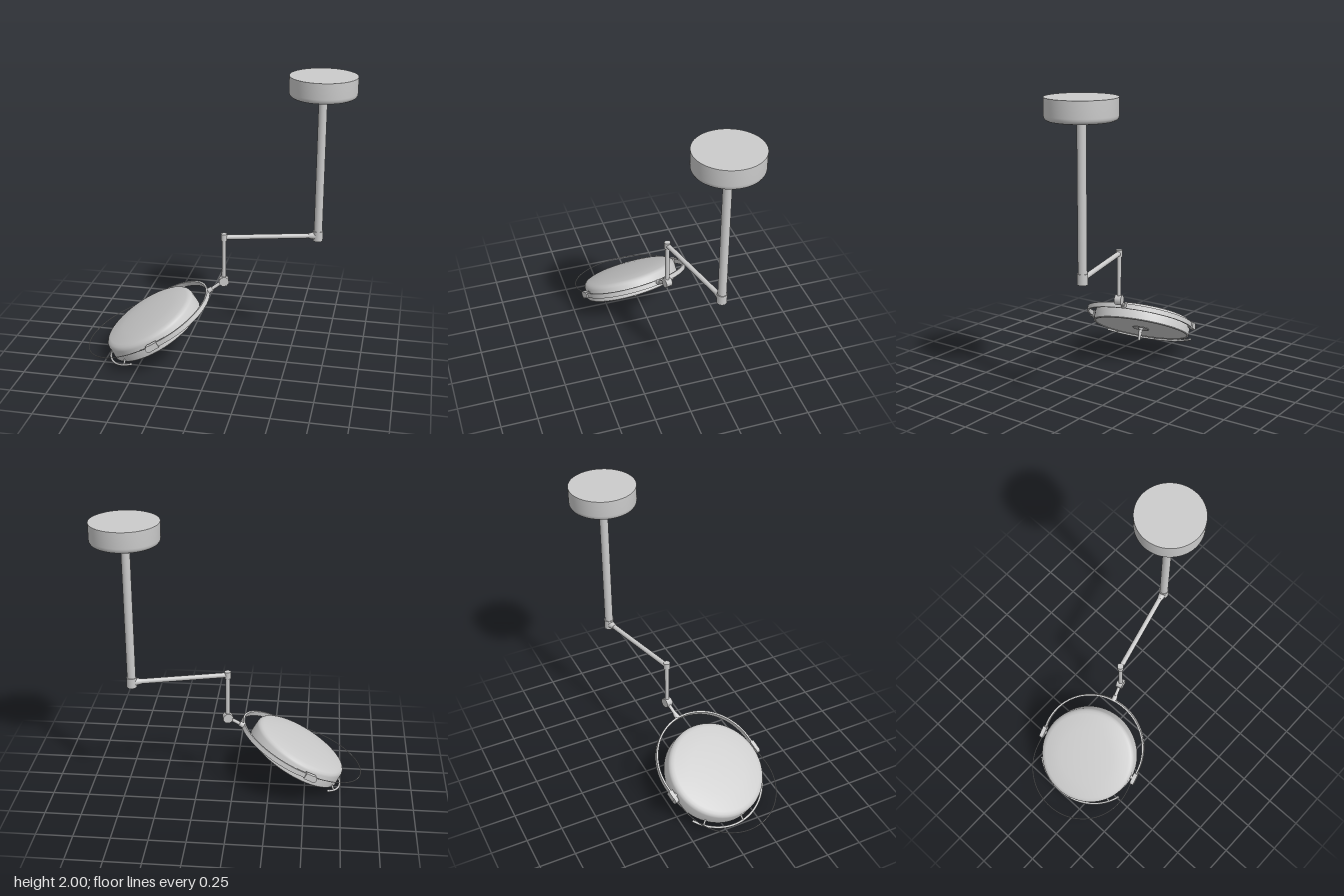
import * as THREE from 'three';
import { toCreasedNormals } from 'three/addons/utils/BufferGeometryUtils.js';

const V = (x, y, z) => new THREE.Vector3(x, y, z);
const grey = new THREE.MeshStandardMaterial({ color: 0xcccccc });

function add(parent, name, geometry, position) {
  const mesh = new THREE.Mesh(geometry, grey);
  mesh.name = name;
  if (position) mesh.position.copy(position);
  parent.add(mesh);
  return mesh;
}

// Cylinder running from point a to point b
function rod(parent, name, a, b, r, rEnd = r, sides = 24) {
  const mesh = add(parent, name, new THREE.CylinderGeometry(rEnd, r, a.distanceTo(b), sides),
    a.clone().add(b).multiplyScalar(0.5));
  mesh.quaternion.setFromUnitVectors(V(0, 1, 0), b.clone().sub(a).normalize());
  return mesh;
}

// Turned solid with crisp corners
function turned(parent, name, profile, position) {
  const points = profile.map(([r, y]) => new THREE.Vector2(r, y));
  return add(parent, name, toCreasedNormals(new THREE.LatheGeometry(points, 72), 0.6), position);
}

export function createModel() {
  const model = new THREE.Group();
  model.name = 'ceilingSurgicalLamp';

  // Key joints
  const post = V(0.665, 0.885, -0.22);
  const elbow = V(0.04, 0.885, -0.06);
  const knuckle = V(0.04, 0.56, -0.06);
  const armDir = elbow.clone().sub(post).normalize();
  const side = V(-armDir.z, 0, armDir.x).negate();

  // Ceiling mount and post
  turned(model, 'ceilingCanopy', [[0, 1.86], [0.195, 1.86], [0.208, 1.863], [0.218, 1.87],
    [0.224, 1.882], [0.225, 1.895], [0.225, 2], [0, 2]], V(post.x, 0, post.z));
  rod(model, 'ceilingPost', V(post.x, 0.9, post.z), V(post.x, 1.87, post.z), 0.029);
  rod(model, 'postJoint', V(post.x, 0.85, post.z), V(post.x, 0.92, post.z), 0.034);

  // Horizontal arm with flared root
  rod(model, 'horizontalArm', post, elbow, 0.017);
  rod(model, 'armCollar', post, post.clone().addScaledVector(armDir, 0.065), 0.031, 0.018);

  // Drop arm
  rod(model, 'elbowJoint', V(elbow.x, 0.862, elbow.z), V(elbow.x, 0.91, elbow.z), 0.022);
  rod(model, 'dropArm', knuckle, elbow, 0.015);
  rod(model, 'knuckle', knuckle.clone().addScaledVector(side, -0.023),
    knuckle.clone().addScaledVector(side, 0.023), 0.036, 0.036, 8);

  // Lamp head frame: x points uphill to the arm, y out of the back of the lamp
  const tilt = Math.PI / 6;
  const up = armDir.clone().multiplyScalar(Math.sin(tilt)).add(V(0, Math.cos(tilt), 0));
  const uphill = armDir.clone().multiplyScalar(-Math.cos(tilt)).add(V(0, Math.sin(tilt), 0));
  const head = new THREE.Group();
  head.name = 'lampHead';
  head.position.set(-0.415, 0.2, 0.06);
  head.quaternion.setFromRotationMatrix(new THREE.Matrix4().makeBasis(uphill, up, side));
  model.add(head);

  // Domed housing, recessed lens and centre ring
  turned(head, 'lampHousing', [[0, 0.004], [0.334, 0.004], [0.336, 0], [0.346, 0], [0.35, 0.005],
    [0.347, 0.09], [0.342, 0.104], [0.33, 0.115], [0.31, 0.122], [0.2, 0.134], [0.1, 0.139], [0, 0.14]]);
  const lensRing = add(head, 'lensRing', new THREE.TorusGeometry(0.058, 0.003, 8, 48), V(0, 0.002, 0));
  lensRing.rotation.x = Math.PI / 2;

  // Sterile centre handle
  turned(head, 'centreHandle', [[0, -0.09], [0.006, -0.088], [0.009, -0.08], [0.013, -0.03],
    [0.013, -0.008], [0.018, -0.008], [0.018, 0.006]]);

  // Yoke band: half ring with straight ends
  const pivotY = 0.065;
  const band = new THREE.Shape();
  band.moveTo(0, -0.382);
  band.lineTo(0.075, -0.382);
  band.absarc(0.075, 0, 0.382, -Math.PI / 2, Math.PI / 2, false);
  band.lineTo(0, 0.382);
  band.lineTo(0, 0.369);
  band.lineTo(0.075, 0.369);
  band.absarc(0.075, 0, 0.369, Math.PI / 2, -Math.PI / 2, true);
  band.lineTo(0, -0.369);
  const bandGeometry = new THREE.ExtrudeGeometry(band,
    { depth: 0.034, bevelEnabled: false, curveSegments: 64 });
  bandGeometry.rotateX(-Math.PI / 2);
  add(head, 'yokeBand', toCreasedNormals(bandGeometry, 0.5), V(0, pivotY - 0.017, 0));

  // Link from the yoke to the knuckle
  head.updateMatrixWorld(true);
  const yokeTop = head.localToWorld(V(0.45, pivotY, 0));
  const linkMid = yokeTop.clone().lerp(knuckle, 0.3);
  rod(model, 'yokeSocket', yokeTop, linkMid, 0.02, 0.016);
  rod(model, 'yokeLink', linkMid, knuckle, 0.012);

  // Yoke pivots on both sides
  for (const s of [-1, 1]) {
    add(head, 'pivotBlock', new THREE.BoxGeometry(0.065, 0.044, 0.03), V(0.01, pivotY, s * 0.376));
    rod(head, 'pivotCap', V(-0.025, pivotY, s * 0.362), V(-0.025, pivotY, s * 0.39), 0.024);
    rod(head, 'pivotAxle', V(0, pivotY, s * 0.33), V(0, pivotY, s * 0.38), 0.014);
  }

  // Thin outer grab wire, swung slightly above the head plane
  const wirePoints = [V(0, 0, 0.368)];
  for (let i = 0; i <= 24; i++) {
    const a = Math.PI * i / 24;
    wirePoints.push(V(-0.11 - 0.37 * Math.sin(a), 0, 0.37 * Math.cos(a)));
  }
  wirePoints.push(V(0, 0, -0.368));
  const wire = add(head, 'grabWire', new THREE.TubeGeometry(
    new THREE.CatmullRomCurve3(wirePoints), 120, 0.003, 8), V(0, pivotY, 0));
  wire.rotation.z = -0.16;

  // Curved handle rail below the lower rim, with brackets
  const onRail = (a, r, y) => V(-r * Math.cos(a), y, r * Math.sin(a));
  const span = 1.0;
  const railPoints = [];
  for (let i = 0; i <= 20; i++) railPoints.push(onRail(span * (i / 10 - 1), 0.38, 0));
  add(head, 'handleRail', new THREE.TubeGeometry(
    new THREE.CatmullRomCurve3(railPoints), 64, 0.008, 10));
  for (const s of [-1, 1]) {
    add(head, 'railEnd', new THREE.SphereGeometry(0.009, 12, 8), onRail(s * span, 0.38, 0));
  }
  for (const a of [-0.8, 0, 0.8]) {
    rod(head, 'railBracket', onRail(a, 0.38, 0), onRail(a, 0.34, 0.025), 0.007, 0.007, 12);
  }

  return model;
}
